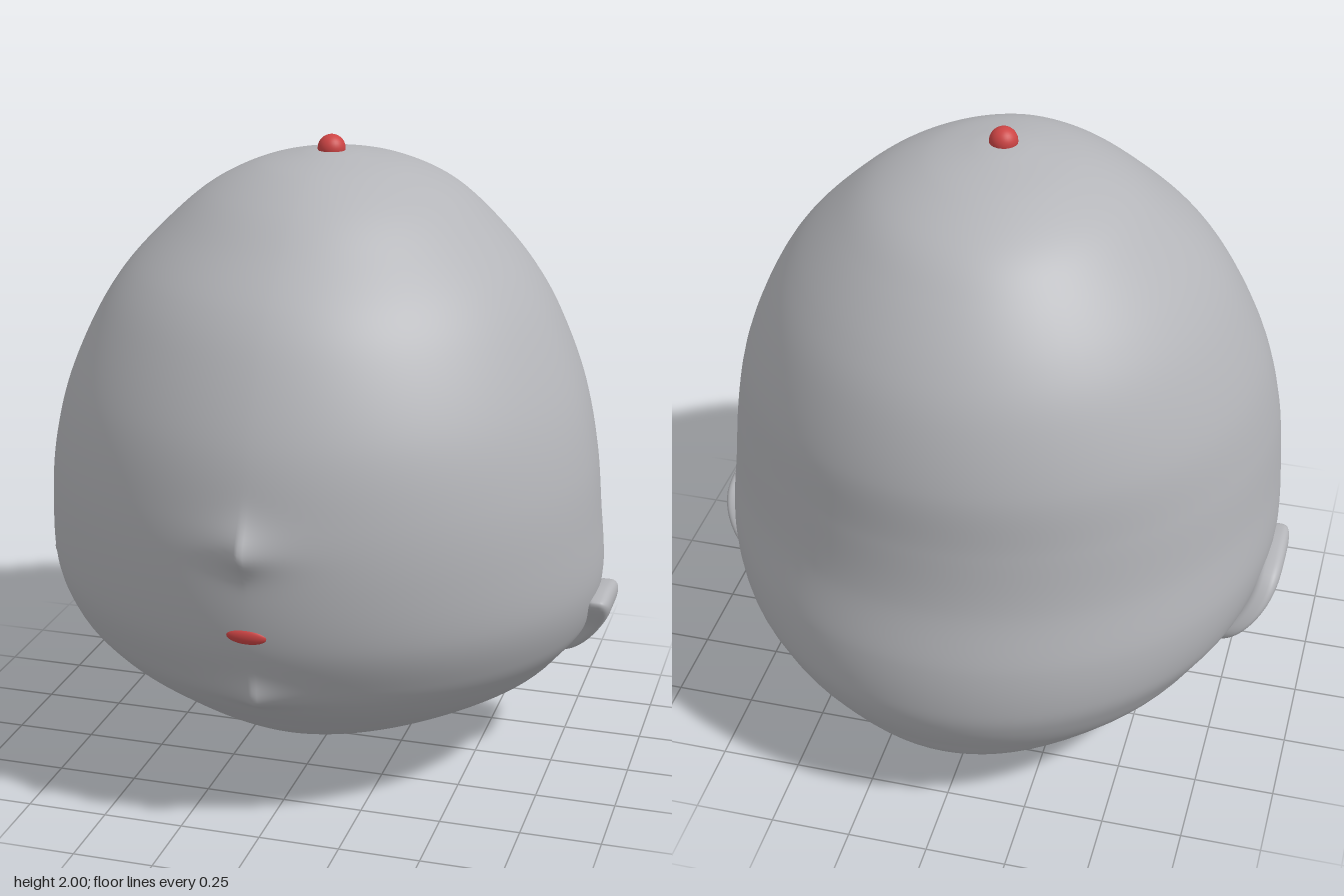
import * as THREE from 'three';

const skinMat = new THREE.MeshStandardMaterial({ color: 0xb4b5b9 });
skinMat.name = 'grey skin';
const redMat = new THREE.MeshStandardMaterial({ color: 0xcc4444 });
redMat.name = 'red';
const blueMat = new THREE.MeshStandardMaterial({ color: 0x4477cc });
blueMat.name = 'blue';

function mesh(name, geometry, material) {
  const m = new THREE.Mesh(geometry, material);
  m.name = name;
  return m;
}

// Smooth closed surface from rows of loops; point(v, u) gives a position
function loft(point, rows, segs, flip = false) {
  const positions = [], index = [];
  for (let j = 0; j <= rows; j++)
    for (let i = 0; i < segs; i++) positions.push(...point(j / rows, i / segs));
  for (let j = 0; j < rows; j++)
    for (let i = 0; i < segs; i++) {
      const a = j * segs + i, b = j * segs + (i + 1) % segs, c = a + segs, d = b + segs;
      if (flip) index.push(a, d, c, a, b, d);
      else index.push(a, c, d, a, d, b);
    }
  const g = new THREE.BufferGeometry();
  g.setAttribute('position', new THREE.Float32BufferAttribute(positions, 3));
  g.setIndex(index);
  g.computeVertexNormals();
  return g;
}

// Head cross-sections from crown to base: height, half width, front z, back z
const sections = [
  [1.955, 0.002, -0.028, -0.032], [1.945, 0.1, 0.07, -0.14], [1.91, 0.24, 0.22, -0.32],
  [1.84, 0.38, 0.36, -0.49], [1.74, 0.5, 0.49, -0.61], [1.6, 0.63, 0.64, -0.72],
  [1.45, 0.725, 0.74, -0.795], [1.25, 0.81, 0.825, -0.845], [1.05, 0.857, 0.862, -0.853],
  [0.85, 0.877, 0.866, -0.866], [0.65, 0.885, 0.836, -0.905], [0.5, 0.85, 0.765, -0.91],
  [0.4, 0.785, 0.69, -0.89], [0.3, 0.695, 0.57, -0.84], [0.2, 0.52, 0.43, -0.77],
  [0.12, 0.3, 0.24, -0.62], [0.075, 0.13, 0.02, -0.43], [0.062, 0.002, -0.198, -0.202],
];
const curve = (pick) => new THREE.CatmullRomCurve3(
  sections.map((s) => new THREE.Vector3(...pick(s))), false, 'catmullrom', 0.5);
const widthCurve = curve(([y, w]) => [w, y, 0]);
const depthCurve = curve(([y, , f, b]) => [f, y, b]);

// Small pointed swelling on the face, with separate falloff above and below
function bump(x, y, y0, height, spread, above, below) {
  const dy = y - y0;
  return height * Math.exp(-Math.abs(x) / spread - (dy / (dy > 0 ? above : below)) ** 2);
}

function headPoint(v, u) {
  const { x: w, y } = widthCurve.getPoint(v);
  const { x: front, z: back } = depthCurve.getPoint(v);
  const t = u * Math.PI * 2;
  const a = t - 0.6 * Math.sin(t); // denser around the face
  const c = Math.cos(a), s = Math.sin(a);
  const mid = (front + back) / 2 + 0.06 * w;
  const n = c > 0 ? 1.07 : 1; // slightly narrower face
  const x = w * Math.sign(s) * Math.abs(s) ** n;
  let z = c > 0 ? mid + (front - mid) * c ** n : mid + (mid - back) * c;
  if (c > 0) {
    z += bump(x, y, 0.97, 0.052, 0.07, 0.08, 0.06); // nose
    z += bump(x, y, 0.46, 0.05, 0.09, 0.07, 0.04); // chin
  }
  return [x, y, z];
}

// Teardrop ear outline: (z, y)
const earOutline = new THREE.CatmullRomCurve3([
  [0.105, 0.605], [0.05, 0.62], [-0.04, 0.618], [-0.15, 0.59], [-0.225, 0.495],
  [-0.247, 0.4], [-0.205, 0.35], [-0.11, 0.35], [-0.02, 0.395], [0.035, 0.5],
].map(([z, y]) => new THREE.Vector3(0, y, z)), true);

// Rounded plate that curves inward towards its lower end
function ear(side) {
  return loft((v, u) => {
    const p = earOutline.getPoint(u);
    const a = v * Math.PI, c = Math.cos(a);
    const r = Math.max(Math.sin(a), 0.00001) ** 0.45;
    const y = 0.48 + (p.y - 0.48) * r;
    const z = -0.09 + (p.z + 0.09) * r;
    const x = 0.89 + 0.045 * Math.sign(c) * Math.abs(c) ** 0.6 - 2.2 * (0.62 - y) ** 2;
    return [side * x, y, z];
  }, 32, 64, side > 0);
}

export function createModel() {
  const model = new THREE.Group();
  model.name = 'head model';
  model.add(mesh('head', loft(headPoint, 238, 128), skinMat));
  model.add(mesh('leftEar', ear(1), skinMat), mesh('rightEar', ear(-1), skinMat));

  // Mouth: thin lens lying on the face
  const mouth = mesh('mouth', new THREE.SphereGeometry(1, 32, 16), redMat);
  mouth.scale.set(0.062, 0.025, 0.016);
  mouth.position.set(0, 0.7, 0.842);
  mouth.rotation.x = 0.18;
  model.add(mouth);

  // Marker balls at crown and base
  const ball = new THREE.SphereGeometry(0.043, 32, 20);
  const crown = mesh('crownBall', ball, redMat);
  crown.position.set(0, 1.957, -0.03);
  const base = mesh('baseBall', ball, blueMat);
  base.position.set(0, 0.043, -0.03);
  model.add(crown, base);
  return model;
}
